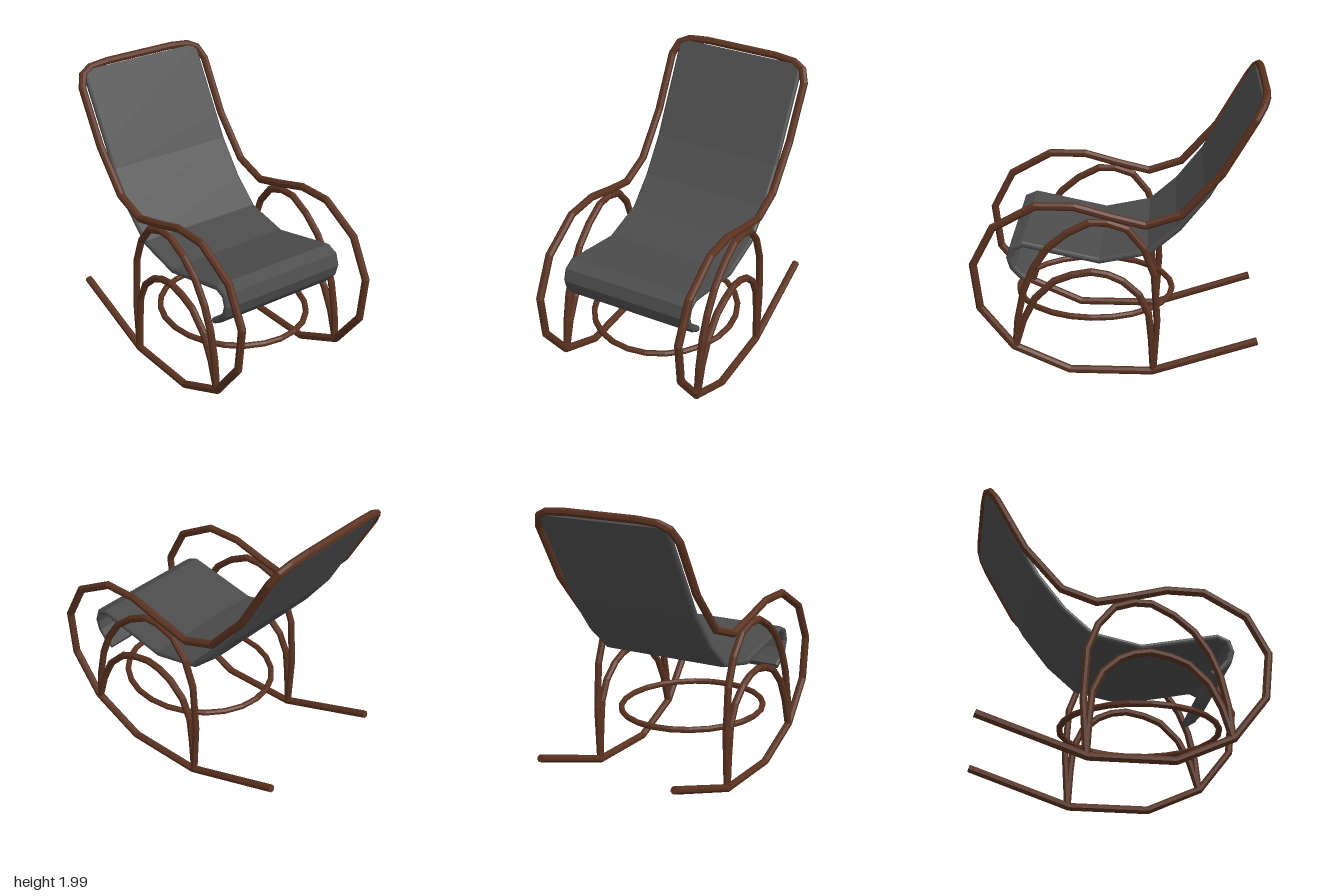
import * as THREE from 'three';

const V = (x, y, z) => new THREE.Vector3(x, y, z);

// Sweeps a cross-section along a polyline with mitred joints
function sweep(path, section, closed = false) {
  const n = path.length, m = section.length;
  const dir = i => path[(i + 1) % n].clone().sub(path[i % n]).normalize();
  const miter = i => {
    if (!closed && i === 0) return dir(0);
    if (!closed && i === n - 1) return dir(n - 2);
    return dir(i).add(dir((i + n - 1) % n)).normalize();
  };
  // slides a point along t onto the mitre plane of joint i
  const slide = (p, t, i) => {
    const nrm = miter(i);
    return p.clone().addScaledVector(t, path[i].clone().sub(p).dot(nrm) / t.dot(nrm));
  };
  const t0 = dir(0);
  const v = t0.clone().cross(V(1, 0, 0)).normalize();
  const u = v.clone().cross(t0);
  let ring = section.map(([a, b]) =>
    slide(path[0].clone().addScaledVector(u, a).addScaledVector(v, b), t0, 0));
  const points = [...ring], index = [];
  for (let i = 1; i < n; i++) {
    ring = ring.map(p => slide(p, dir(i - 1), i));
    points.push(...ring);
  }
  const spans = closed ? n : n - 1;
  for (let i = 0; i < spans; i++) {
    for (let k = 0; k < m; k++) {
      const k2 = (k + 1) % m, r = i * m, s = ((i + 1) % n) * m;
      index.push(r + k, r + k2, s + k2, r + k, s + k2, s + k);
    }
  }
  if (!closed) {
    const e = (n - 1) * m;
    for (let k = 1; k < m - 1; k++) index.push(0, k + 1, k, e, e + k, e + k + 1);
  }
  const g = new THREE.BufferGeometry().setFromPoints(points);
  g.setIndex(index);
  g.computeVertexNormals();
  return g;
}

const round = (r, sides = 8) => Array.from({ length: sides }, (_, k) => {
  const a = (k + 0.5) / sides * Math.PI * 2;
  return [r * Math.cos(a), r * Math.sin(a)];
});

export function createModel() {
  const group = new THREE.Group();
  const wood = new THREE.MeshStandardMaterial({ color: 0x5a3220, flatShading: true });
  const fabric = new THREE.MeshStandardMaterial({ color: 0x4c4c4c, flatShading: true });
  const add = (name, geo, mat) => {
    const mesh = new THREE.Mesh(geo, mat);
    mesh.name = name;
    group.add(mesh);
  };
  const X = 0.522;
  const side = (pts, x) => pts.map(([z, y]) => V(x, y, z));

  // Continuous bent frame: rocker, arm loop, back upright and top rail
  const half = [
    ...side([[-0.95, 0.28], [-0.24, 0.033], [0.32, 0.033], [0.70, 0.205], [0.925, 0.495],
      [0.96, 0.81], [0.82, 1.078], [0.535, 1.238], [0.28, 1.238], [0.03, 1.168],
      [-0.19, 1.115], [-0.425, 1.195], [-0.675, 1.48], [-0.88, 1.845]], X),
    V(0.485, 1.925, -0.926), V(0.41, 1.96, -0.947), V(0.27, 1.972, -0.954),
  ];
  const mirrored = half.map(p => V(-p.x, p.y, p.z)).reverse();
  add('frame', sweep([...half, ...mirrored], round(0.027)), wood);

  // Nested support arches on each side
  const outer = [[0.69, 0.21], [0.67, 0.42], [0.625, 0.63], [0.56, 0.79], [0.46, 0.94], [0.33, 1.05],
    [0.18, 1.128], [0.06, 1.128], [-0.07, 1.085], [-0.18, 0.95], [-0.25, 0.76],
    [-0.272, 0.42], [-0.25, 0.04]];
  const inner = [[0.69, 0.21], [0.63, 0.41], [0.55, 0.57], [0.42, 0.70], [0.30, 0.748], [0.17, 0.773],
    [0.06, 0.755], [-0.04, 0.71], [-0.15, 0.61], [-0.215, 0.47], [-0.235, 0.28], [-0.25, 0.04]];
  for (const [label, s] of [['left', 1], ['right', -1]]) {
    add(label + 'OuterArch', sweep(side(outer, s * X), round(0.025)), wood);
    add(label + 'InnerArch', sweep(side(inner, s * X), round(0.025)), wood);
  }

  // Horizontal oval stretcher
  const N = 24;
  const oval = Array.from({ length: N }, (_, i) => {
    const a = i / N * Math.PI * 2;
    return V(0.5 * Math.cos(a), 0.42, 0.175 + 0.545 * Math.sin(a));
  });
  add('stretcherRing', sweep(oval, round(0.021), true), wood);

  // Sling seat with a rolled front edge and rounded sides
  const sling = [[0.585, 0.67], [0.65, 0.71], [0.702, 0.77], [0.722, 0.84], [0.70, 0.91],
    [0.63, 0.94], [0.12, 0.83], [-0.21, 0.90], [-0.405, 1.075], [-0.59, 1.315],
    [-0.68, 1.48], [-0.94, 1.945]];
  const w = 0.48, h = 0.021;
  const edge = [[w - 0.016, -h], [w - 0.004, -h * 0.6], [w, 0], [w - 0.004, h * 0.6], [w - 0.016, h]];
  const section = [...edge, ...edge.map(([a, b]) => [-a, -b])];
  add('seat', sweep(side(sling, 0), section), fabric);

  return group;
}
